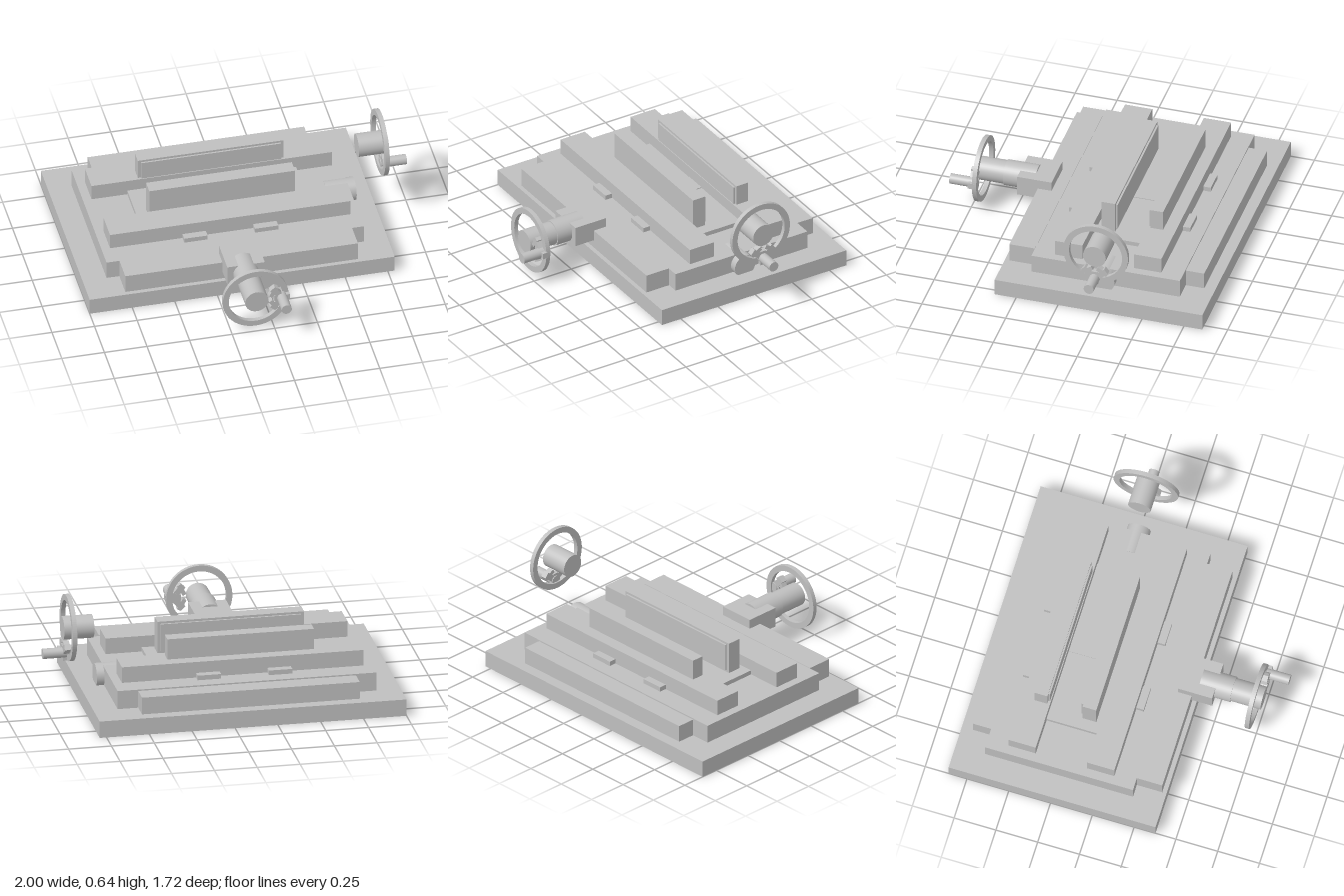
import * as THREE from 'three';

const grey = new THREE.MeshStandardMaterial({ color: 0xbfbfbf });
grey.name = 'machined grey';

// Box from its limits on each axis
function box(parent, name, x0, x1, y0, y1, z0, z1) {
  const m = new THREE.Mesh(new THREE.BoxGeometry(x1 - x0, y1 - y0, z1 - z0), grey);
  m.position.set((x0 + x1) / 2, (y0 + y1) / 2, (z0 + z1) / 2);
  m.name = name;
  parent.add(m);
  return m;
}

// Cylinder along z between two depths
function rod(parent, name, r, x, y, z0, z1) {
  const g = new THREE.CylinderGeometry(r, r, z1 - z0, 40).rotateX(Math.PI / 2);
  const m = new THREE.Mesh(g, grey);
  m.position.set(x, y, (z0 + z1) / 2);
  m.name = name;
  parent.add(m);
  return m;
}

// Handwheel facing +z, rim starting at z = 0, crank on the +x side
function handwheel(name, hubBack, hubFront) {
  const wheel = new THREE.Group();
  wheel.name = name;
  const ring = new THREE.Shape().absarc(0, 0, 0.193, 0, Math.PI * 2);
  ring.holes.push(new THREE.Path().absarc(0, 0, 0.158, 0, Math.PI * 2, true));
  const rim = new THREE.Mesh(
    new THREE.ExtrudeGeometry(ring, { depth: 0.026, bevelEnabled: false, curveSegments: 48 }), grey);
  rim.name = 'rim';
  wheel.add(rim);
  rod(wheel, 'hub', 0.068, 0, 0, hubBack, hubFront);
  rod(wheel, 'crankHandle', 0.03, 0.15, 0, 0.01, 0.165);
  // Short spokes clustered about the crank
  for (const a of [0, 130, 230]) {
    const t = a * Math.PI / 180;
    const s = box(wheel, 'spoke', -0.045, 0.045, -0.018, 0.018, 0.015, 0.05);
    s.position.x = 0.15 + Math.cos(t) * (a ? 0.045 : 0);
    s.position.y = Math.sin(t) * 0.045;
    s.rotation.z = t;
  }
  for (const side of [-1, 1]) {
    const s = box(wheel, 'spokeWing', -0.035, 0.035, -0.012, 0.012, 0.015, 0.05);
    s.position.set(0.1, side * 0.045, 0.0325);
    s.rotation.z = side * Math.PI / 3;
  }
  return wheel;
}

export function createModel() {
  const model = new THREE.Group();
  model.name = 'machineVise';

  // Base and stepped bed
  box(model, 'basePlate', -1, 0.79, 0, 0.1, -0.86, 0.378);
  box(model, 'bed', -0.86, 0.65, 0.1, 0.21, -0.685, 0.2);
  box(model, 'frontBedRail', -0.785, 0.58, 0.1, 0.213, 0.2, 0.352);
  box(model, 'rearBedRail', -0.74, 0.53, 0.1, 0.202, -0.795, -0.685);

  // Slide between the jaws
  box(model, 'slidePlate', -0.6, 0.39, 0.21, 0.236, -0.4, -0.09);
  box(model, 'slideKey', -0.17, -0.035, 0.21, 0.24, -0.4, -0.2);

  // Jaw carriers with their clamping plates and tabs
  box(model, 'frontCarrier', -0.81, 0.6, 0.21, 0.305, -0.09, 0.073);
  box(model, 'rearCarrier', -0.81, 0.6, 0.21, 0.305, -0.56, -0.397);
  box(model, 'frontJaw', -0.535, 0.32, 0.236, 0.428, -0.202, -0.12);
  box(model, 'rearJaw', -0.535, 0.32, 0.236, 0.428, -0.488, -0.412);
  box(model, 'frontJawFace', -0.515, 0.305, 0.25, 0.415, -0.213, -0.202);
  box(model, 'rearJawFace', -0.515, 0.305, 0.25, 0.415, -0.412, -0.402);
  for (const x of [-0.385, 0.03]) {
    box(model, 'frontTab', x, x + 0.137, 0.21, 0.238, 0.073, 0.118);
    box(model, 'rearTab', x, x + 0.137, 0.21, 0.238, -0.605, -0.56);
  }

  // Front feed: bracket, bearing and handwheel
  box(model, 'feedBracket', -0.215, 0.005, 0.148, 0.27, 0.27, 0.475);
  rod(model, 'feedBearing', 0.075, -0.105, 0.21, 0.38, 0.57);
  const front = handwheel('frontHandwheel', -0.13, 0.055);
  front.position.set(-0.105, 0.21, 0.695);
  model.add(front);

  // Side feed: stub shaft and raised handwheel with its crank hanging down
  const shaft = rod(model, 'sideShaft', 0.068, 0, 0, -0.0875, 0.0875);
  shaft.rotation.y = Math.PI / 2;
  shaft.position.set(0.607, 0.147, -0.24);
  const wheel = handwheel('sideHandwheel', -0.125, 0.05);
  wheel.rotation.z = -Math.PI / 2;
  const side = new THREE.Group();
  side.name = 'sideFeed';
  side.add(wheel);
  side.rotation.y = Math.PI / 2;
  side.position.set(0.835, 0.45, -0.245);
  model.add(side);

  return model;
}
